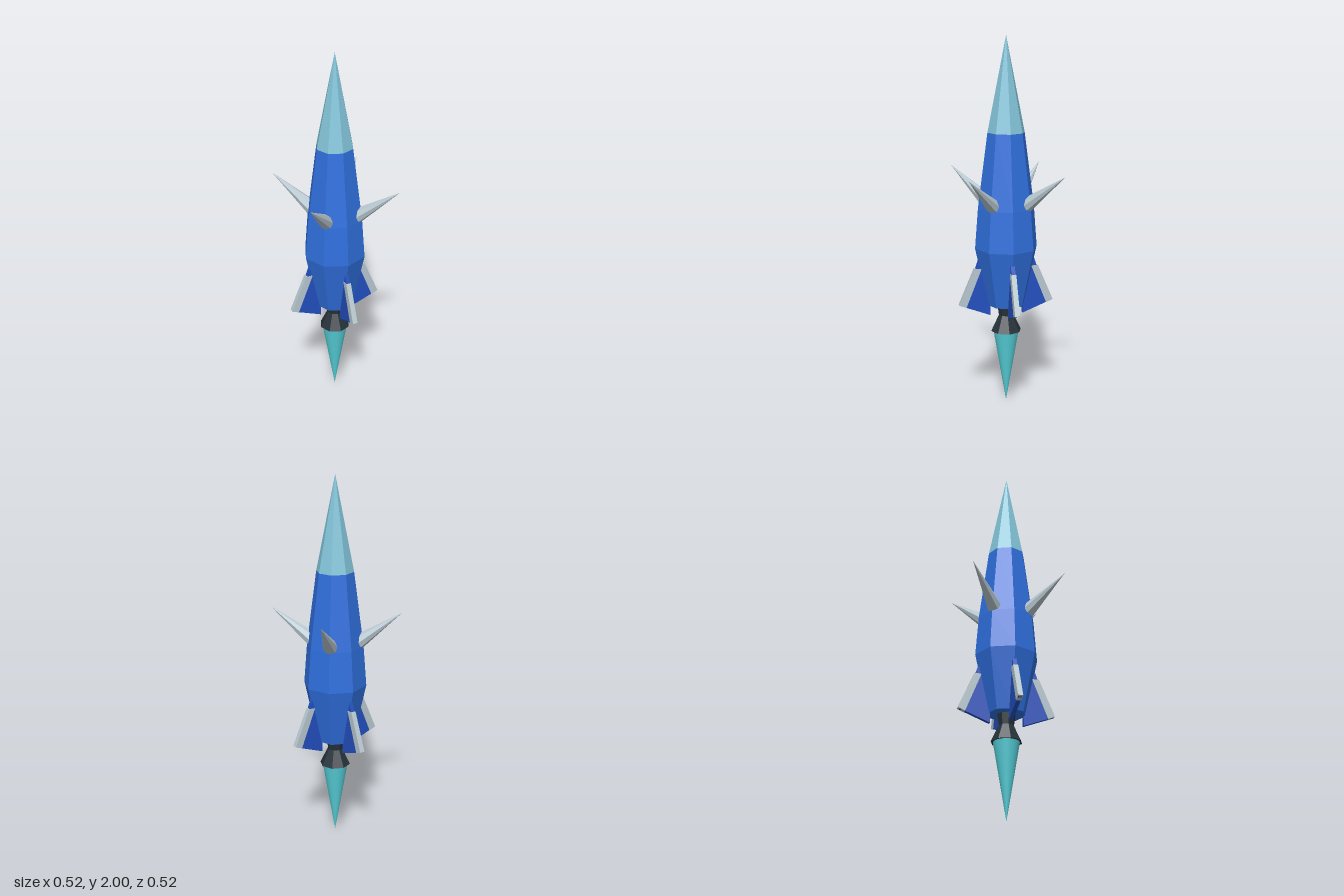
import * as THREE from 'three';

const material = (name, color, extra = {}) => {
  const m = new THREE.MeshStandardMaterial({ color, ...extra });
  m.name = name;
  return m;
};

// Flat plate from an outline, centred on z = 0
function plate(points, thickness) {
  const shape = new THREE.Shape(points.map(([x, y]) => new THREE.Vector2(x, y)));
  const g = new THREE.ExtrudeGeometry(shape, { depth: thickness, bevelEnabled: false });
  return g.translate(0, 0, -thickness / 2);
}

function lathe(points, sides) {
  return new THREE.LatheGeometry(points.map(([r, y]) => new THREE.Vector2(r, y)), sides);
}

export function createModel() {
  const root = new THREE.Group();
  root.name = 'rocket';
  const flat = { flatShading: true };
  const hullBlue = material('hull blue', 0x2f6fdd, flat);
  const finBlue = material('fin blue', 0x2350c0, flat);
  const noseBlue = material('nose pale blue', 0x83c5da, flat);
  const steel = material('steel grey', 0xb8c8d0, flat);
  const dark = material('nozzle dark', 0x27323a, flat);
  const flameCyan = material('flame cyan', 0x56d0da);

  const add = (name, geometry, mat, parent = root) => {
    const mesh = new THREE.Mesh(geometry, mat);
    mesh.name = name;
    parent.add(mesh);
    return mesh;
  };

  // Eight-sided hull, nose and engine
  add('hull', lathe([[0, 0.56], [0.1, 0.56], [0.17, 0.88], [0.153, 1.1], [0.1, 1.5], [0, 1.5]], 8), hullBlue);
  add('noseCone', lathe([[0.1, 1.5], [0, 2]], 8), noseBlue);
  add('nozzle', lathe([[0, 0.41], [0.083, 0.41], [0.04, 0.5], [0.05, 0.57]], 8), dark);

  // Smooth flame pointing down
  const flame = add('flame', new THREE.ConeGeometry(0.069, 0.41, 32), flameCyan);
  flame.rotation.x = Math.PI;
  flame.position.y = 0.205;

  // Four fins, each with a steel leading edge
  const finShape = plate([[0.09, 0.8], [0.09, 0.505], [0.25, 0.567], [0.17, 0.765], [0.147, 0.83]], 0.022);
  const edgeShape = plate([[0.137, 0.77], [0.222, 0.556], [0.26, 0.571], [0.175, 0.77]], 0.027);
  // Four spikes on the diagonals
  const base = new THREE.Vector3(0.09, 1.125, 0.09);
  const axis = new THREE.Vector3(0.25, 1.295, 0.25).sub(base);
  const spikeShape = new THREE.ConeGeometry(0.04, axis.length(), 8);
  spikeShape.translate(0, axis.length() / 2, 0);
  spikeShape.applyQuaternion(new THREE.Quaternion().setFromUnitVectors(
    new THREE.Vector3(0, 1, 0), axis.clone().normalize()));
  spikeShape.translate(base.x, base.y, base.z);

  for (let i = 0; i < 4; i++) {
    const fin = new THREE.Group();
    fin.name = 'fin' + (i + 1);
    fin.rotation.y = i * Math.PI / 2;
    add('finBlade', finShape, finBlue, fin);
    add('finEdge', edgeShape, steel, fin);
    root.add(fin);

    add('spike' + (i + 1), spikeShape, steel).rotation.y = i * Math.PI / 2;
  }
  return root;
}
